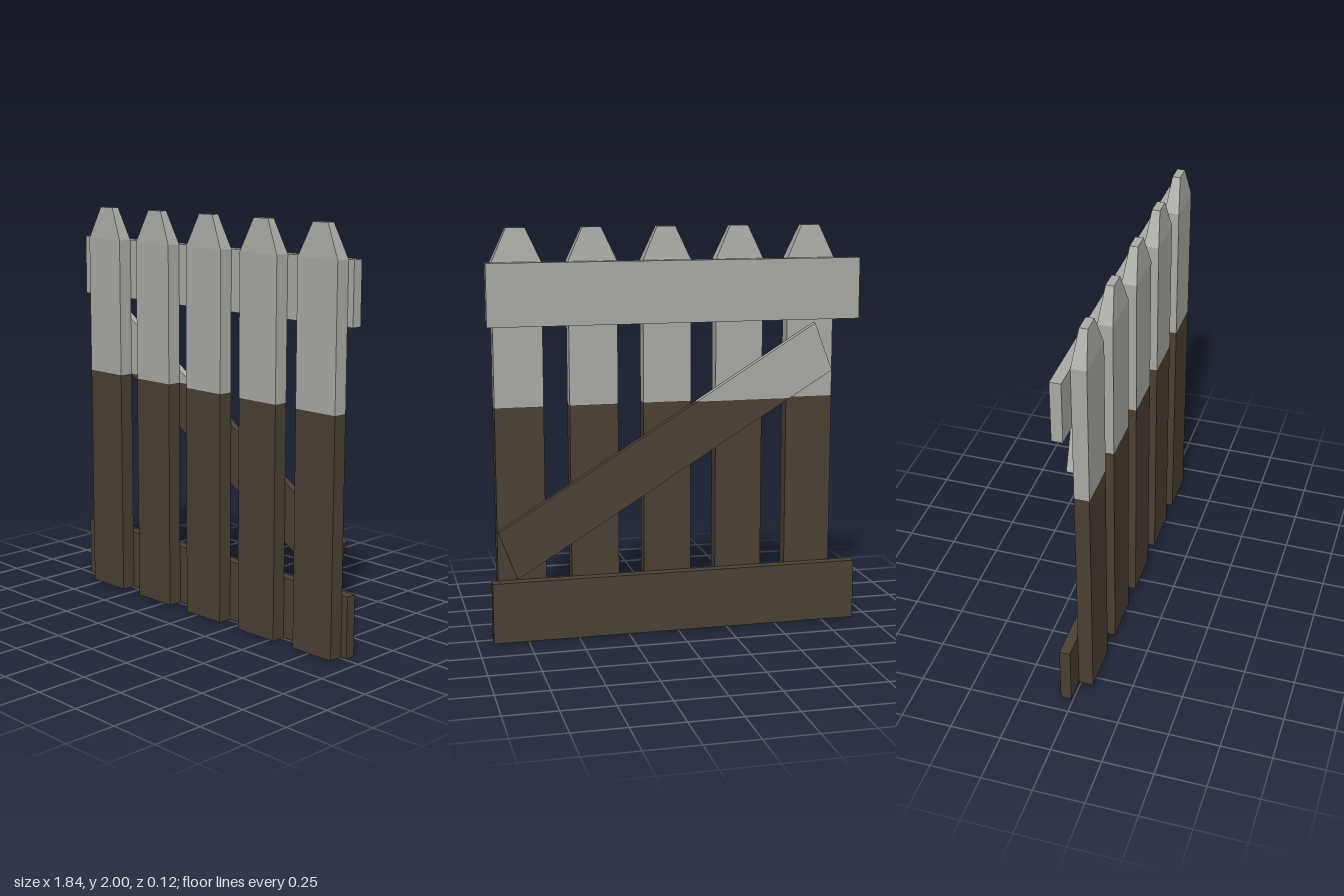
import * as THREE from 'three';

const SPLIT = 1.15; // height where the dark paint ends
const BACK = -0.01; // plane where pickets meet rails and brace

const paleWood = new THREE.MeshStandardMaterial({ color: 0xa9aaa4 });
paleWood.name = 'paleWood';
const darkWood = new THREE.MeshStandardMaterial({ color: 0x4a4033 });
darkWood.name = 'darkWood';

function part(name, geometry, material) {
  const mesh = new THREE.Mesh(geometry, material);
  mesh.name = name;
  return mesh;
}

// Box given by its extents
function slab(name, material, [x0, x1], [y0, y1], [z0, z1]) {
  const g = new THREE.BoxGeometry(x1 - x0, y1 - y0, z1 - z0);
  g.translate((x0 + x1) / 2, (y0 + y1) / 2, (z0 + z1) / 2);
  return part(name, g, material);
}

// Upper picket: straight up to the shoulder, then tapered to a blunt tip
function picketTopGeometry(width, z0, z1) {
  const heights = [SPLIT, 1.84, 2];
  const box = new THREE.BoxGeometry(width, 2, z1 - z0, 1, 2, 1);
  const p = box.attributes.position;
  for (let i = 0; i < p.count; i++) {
    const level = Math.round(p.getY(i)) + 1;
    const tip = level === 2;
    p.setXYZ(i, p.getX(i) * (tip ? 0.38 : 1), heights[level],
      p.getZ(i) * (tip ? 0.54 : 1) + (z0 + z1) / 2);
  }
  const g = box.toNonIndexed();
  g.computeVertexNormals();
  return g;
}

// Flat board cut from an outline in the xy plane
function board(name, material, points, z0, z1) {
  const shape = new THREE.Shape(points.map(([x, y]) => new THREE.Vector2(x, y)));
  const g = new THREE.ExtrudeGeometry(shape, { depth: z1 - z0, bevelEnabled: false });
  g.translate(0, 0, z0);
  return part(name, g, material);
}

export function createModel() {
  const fence = new THREE.Group();
  fence.name = 'picketFence';

  // Five pickets
  const width = 0.237;
  const topGeometry = picketTopGeometry(width, BACK, 0.0625);
  for (let i = 0; i < 5; i++) {
    const picket = new THREE.Group();
    picket.name = 'picket' + (i + 1);
    picket.add(slab('picketBase', darkWood, [-width / 2, width / 2], [0, SPLIT], [BACK, 0.0625]));
    picket.add(part('picketTop', topGeometry, paleWood));
    picket.position.x = 0.043 + (i - 2) * 0.363;
    fence.add(picket);
  }

  // Rails across the back
  fence.add(slab('lowerRail', darkWood, [-0.92, 0.92], [0, 0.3], [-0.0625, BACK]));
  fence.add(slab('upperRail', paleWood, [-0.92, 0.92], [1.54, 1.84], [-0.0625, BACK]));

  // Diagonal brace, divided at the paint line
  const brace = new THREE.Group();
  brace.name = 'brace';
  const cutLow = [-0.573, SPLIT], cutHigh = [-0.099, SPLIT];
  brace.add(board('braceTop', paleWood,
    [[-0.79, 1.283], cutLow, cutHigh, [-0.7, 1.52]], -0.046, BACK));
  brace.add(board('braceBase', darkWood,
    [cutLow, [0.797, 0.31], [0.885, 0.547], cutHigh], -0.046, BACK));
  fence.add(brace);

  return fence;
}
